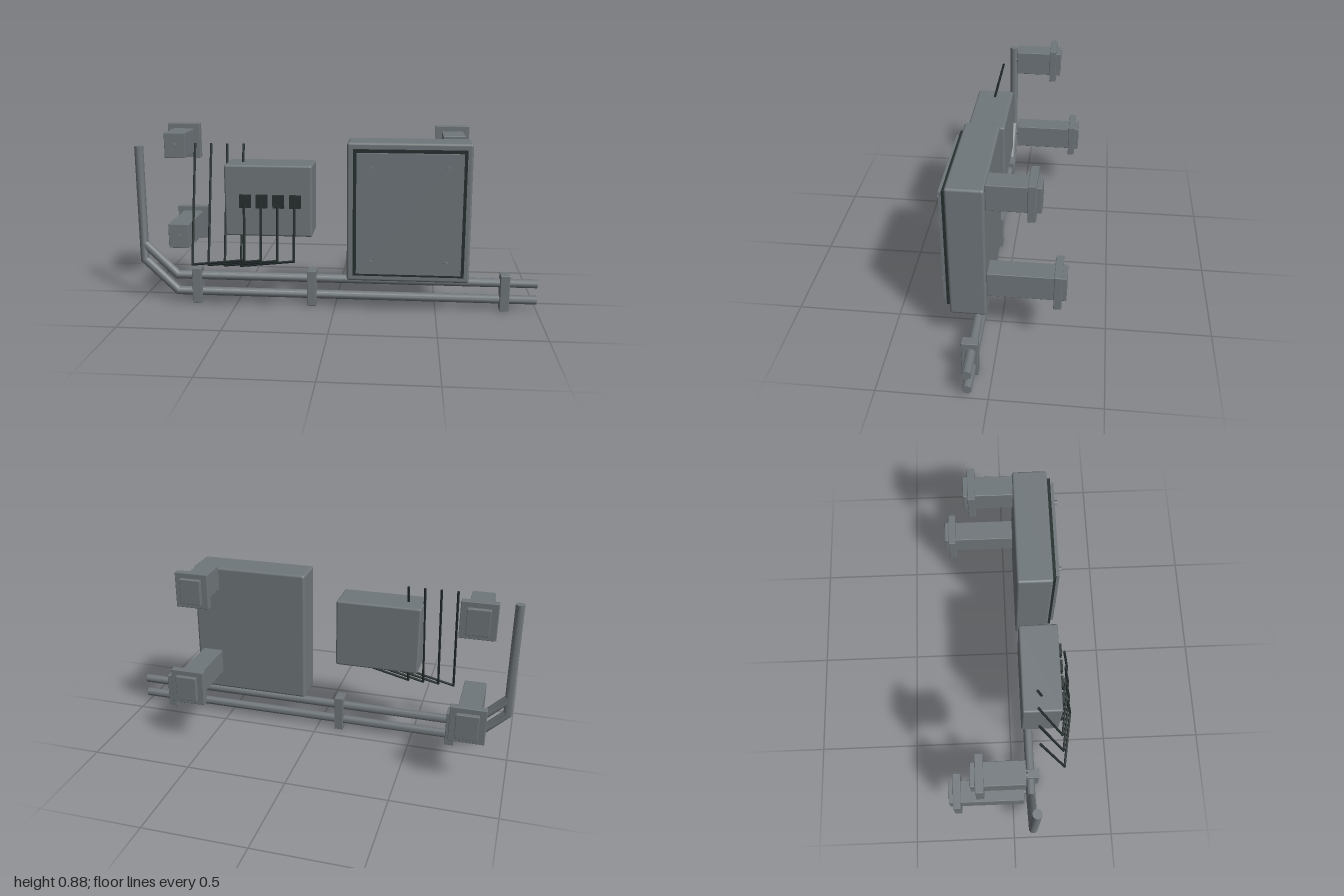
import * as THREE from 'three';
import { RoundedBoxGeometry } from 'three/addons/geometries/RoundedBoxGeometry.js';
import { toCreasedNormals } from 'three/addons/utils/BufferGeometryUtils.js';

const material = (name, color) => {
  const m = new THREE.MeshStandardMaterial({ color });
  m.name = name;
  return m;
};

export function createModel() {
  const grey = material('painted steel grey', 0x70777b);
  const dark = material('rubber black', 0x26302f);
  const model = new THREE.Group();

  const add = (parent, name, geometry, mat) => {
    const mesh = new THREE.Mesh(geometry, mat);
    mesh.name = name;
    parent.add(mesh);
    return mesh;
  };
  const group = (name) => {
    const g = new THREE.Group();
    g.name = name;
    model.add(g);
    return g;
  };
  // Box given by its extents, with optional rounded edges
  const box = (parent, name, [x0, x1], [y0, y1], [z0, z1], mat, r = 0) => {
    const size = [x1 - x0, y1 - y0, z1 - z0];
    const geometry = r ? new RoundedBoxGeometry(...size, 2, r) : new THREE.BoxGeometry(...size);
    const mesh = add(parent, name, geometry, mat);
    mesh.position.set((x0 + x1) / 2, (y0 + y1) / 2, (z0 + z1) / 2);
  };
  const around = (c, half) => [c - half, c + half];
  // Bolt head facing forward
  const bolt = (parent, x, y, z0, z1) => {
    const g = new THREE.CylinderGeometry(0.011, 0.011, z1 - z0, 12).rotateX(Math.PI / 2);
    add(parent, 'bolt', g, grey).position.set(x, y, (z0 + z1) / 2);
  };
  // Straight rod between two points
  const rod = (parent, name, a, b, r, mat) => {
    const from = new THREE.Vector3(...a), to = new THREE.Vector3(...b);
    const dir = to.clone().sub(from);
    const mesh = add(parent, name, new THREE.CylinderGeometry(r, r, dir.length() + r, 8), mat);
    mesh.position.copy(from).add(to).multiplyScalar(0.5);
    mesh.quaternion.setFromUnitVectors(new THREE.Vector3(0, 1, 0), dir.normalize());
  };

  // Pipe with mitred bends, following a path in the xy plane
  const pipe = (parent, name, path, z, r, sides = 16) => {
    const pts = path.map((p) => new THREE.Vector2(...p));
    const positions = [], index = [];
    pts.forEach((p, i) => {
      const before = pts[Math.max(i - 1, 0)], after = pts[Math.min(i + 1, pts.length - 1)];
      const d0 = (i ? p.clone().sub(before) : after.clone().sub(p)).normalize();
      const d1 = (i < pts.length - 1 ? after.clone().sub(p) : d0.clone()).normalize();
      const t = d0.clone().add(d1).normalize();
      const stretch = 1 / t.dot(d0);
      for (let k = 0; k < sides; k++) {
        const a = (k / sides) * Math.PI * 2;
        const u = Math.cos(a) * r * stretch;
        positions.push(p.x - t.y * u, p.y + t.x * u, z + Math.sin(a) * r);
      }
    });
    for (let i = 0; i < pts.length - 1; i++) {
      for (let k = 0; k < sides; k++) {
        const n = (k + 1) % sides, a = i * sides + k, b = i * sides + n;
        index.push(a, b, b + sides, a, b + sides, a + sides);
      }
    }
    const last = (pts.length - 1) * sides;
    for (let k = 1; k < sides - 1; k++) {
      index.push(0, k + 1, k, last, last + k, last + k + 1);
    }
    const g = new THREE.BufferGeometry();
    g.setAttribute('position', new THREE.Float32BufferAttribute(positions, 3));
    g.setIndex(index);
    add(parent, name, toCreasedNormals(g, 0.55), grey);
  };

  // Large cabinet with gasket, door and four bolts
  const cabinet = group('largeCabinet');
  box(cabinet, 'cabinetBody', [0.065, 0.655], [0.168, 0.845], [0.05, 0.22], grey, 0.012);
  box(cabinet, 'gasket', [0.095, 0.628], [0.2, 0.815], [0.21, 0.236], dark);
  box(cabinet, 'door', [0.112, 0.612], [0.215, 0.8], [0.23, 0.253], grey);
  for (const x of [0.18, 0.54]) for (const y of [0.275, 0.73]) bolt(cabinet, x, y, 0.257, 0.27);

  // Small junction box with four sockets and their cables
  const junction = group('junctionBox');
  box(junction, 'junctionBody', [-0.522, -0.1], [0.386, 0.733], [0.05, 0.235], grey, 0.01);
  for (let i = 0; i < 4; i++) {
    const x = -0.42 + i * 0.08, back = x - 0.265;
    box(junction, 'socket', around(x, 0.027), [0.53, 0.592], [0.23, 0.258], dark);
    const cable = [[x, 0.545, 0.274], [x, 0.284, 0.305], [back, 0.243, 0.263], [back, 0.815, 0.12]];
    for (let k = 0; k < 3; k++) rod(junction, 'cable', cable[k], cable[k + 1], 0.006, dark);
  }

  // Pair of conduits with a shared riser, held by three clamps
  const conduits = group('conduits');
  for (const y of [0.05, 0.135]) {
    pipe(conduits, 'conduit', [[1, y], [-0.81, y], [-0.978, y + 0.163], [-0.978, 0.795]], 0.092, 0.022);
  }
  for (const x of [-0.703, -0.117, 0.84]) {
    box(conduits, 'clamp', around(x, 0.023), [0, 0.183], [0.062, 0.136], grey, 0.003);
  }

  // Wall standoffs with flanges, two on each side
  for (const x of [-0.81, 0.573]) {
    for (const [y, end, flange] of [[0.793, -0.19, -0.15], [0.325, -0.31, -0.271]]) {
      const standoff = group('standoff');
      box(standoff, 'standoffPost', around(x, 0.053), around(y, 0.063), [end, 0.05], grey, 0.003);
      box(standoff, 'standoffFlange', around(x, 0.084), around(y, 0.089), around(flange, 0.018), grey, 0.003);
      if (x < 0) bolt(standoff, x, y, 0.045, 0.06);
    }
  }
  return model;
}
